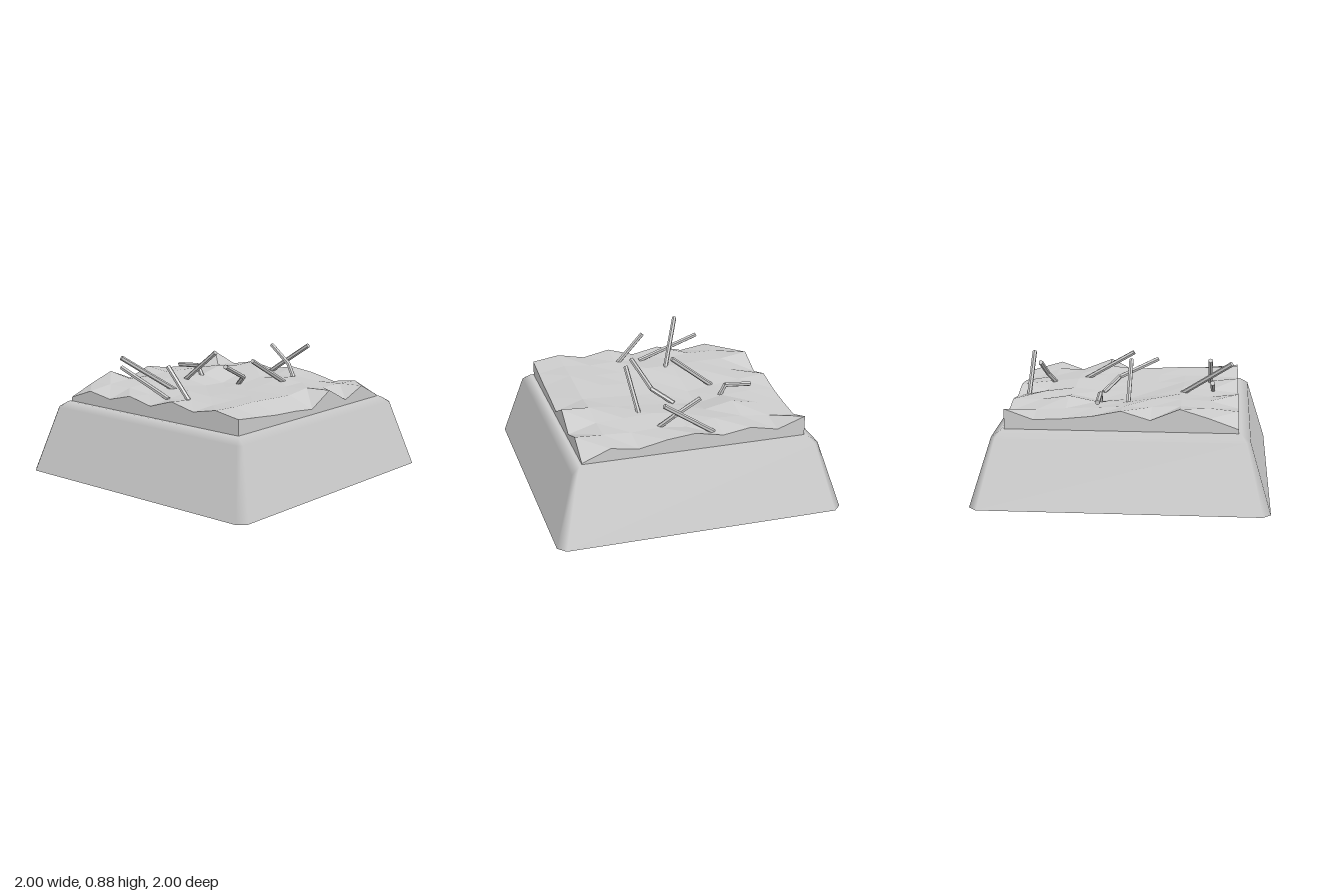
import * as THREE from 'three';

const grey = new THREE.MeshStandardMaterial({ color: 0xcccccc, side: THREE.DoubleSide });
const greyFlat = new THREE.MeshStandardMaterial({ color: 0xcccccc, flatShading: true });

// Hollow plinth, open underneath: four sloping walls, soft corner bevels and a top bevel.
function plinth() {
  const pos = [], nor = [], idx = [];
  const up = new THREE.Vector3(0, 1, 0);
  const put = (x, y, z, n, angle) => {
    pos.push(...new THREE.Vector3(x, y, z).applyAxisAngle(up, angle));
    nor.push(...n.clone().applyAxisAngle(up, angle));
  };
  const wall = new THREE.Vector3(0, 0.14, 0.46).normalize();
  for (let i = 0; i < 4; i++) {
    const a = i * Math.PI / 2;
    put(-0.945, 0, 1, wall, a);
    put(0.945, 0, 1, wall, a);
    put(0.83, 0.46, 0.86, wall, a);
    put(-0.83, 0.46, 0.86, wall, a);
    put(0.8, 0.5, 0.8, up, a);
  }
  for (let i = 0; i < 4; i++) {
    const b = i * 5, n = ((i + 1) % 4) * 5, p = ((i + 3) % 4) * 5;
    idx.push(b, b + 1, b + 2, b, b + 2, b + 3);               // wall
    idx.push(b + 1, n, n + 3, b + 1, n + 3, b + 2);           // corner bevel
    idx.push(b + 3, b + 2, b + 4, b + 3, b + 4, p + 4);       // top bevel
    idx.push(b + 2, n + 3, b + 4);                            // bevel tip
  }
  idx.push(4, 9, 14, 4, 14, 19);                              // top plate
  const g = new THREE.BufferGeometry();
  g.setAttribute('position', new THREE.Float32BufferAttribute(pos, 3));
  g.setAttribute('normal', new THREE.Float32BufferAttribute(nor, 3));
  g.setIndex(idx);
  return g;
}

// Ground heights in hundredths, back row first, left to right in x.
const heights = [
  [53, 60, 66, 58, 64, 60, 58, 57, 64],
  [60, 62, 63, 62, 62, 61, 60, 59, 57],
  [57, 62, 63, 63, 60, 60, 64, 61, 61],
  [62, 60, 62, 60, 57, 56, 60, 62, 58],
  [58, 60, 62, 59, 58, 58, 60, 58, 62],
  [64, 62, 61, 60, 59, 60, 62, 60, 60],
  [60, 61, 61, 61, 60, 61, 61, 59, 56],
  [64, 63, 63, 62, 61, 63, 60, 60, 59],
  [61, 59, 57, 56, 54, 64, 54, 61, 51],
];

// Rough slab of earth: a subdivided box whose top follows the heights.
function earth() {
  const size = 1.56, n = 8;
  const g = new THREE.BoxGeometry(size, 1, size, n, 1, n);
  const p = g.attributes.position;
  for (let i = 0; i < p.count; i++) {
    const col = Math.round((p.getX(i) / size + 0.5) * n);
    const row = Math.round((p.getZ(i) / size + 0.5) * n);
    p.setY(i, p.getY(i) > 0 ? heights[row][col] / 100 : 0.502);
  }
  g.computeVertexNormals();
  return g;
}

// A twig is a chain of slim six-sided rods through its points, tip first.
function twig(points, radius) {
  const group = new THREE.Group();
  const pts = points.map(q => new THREE.Vector3(...q));
  for (let i = 0; i < pts.length - 1; i++) {
    const dir = pts[i].clone().sub(pts[i + 1]);
    const rod = new THREE.Mesh(
      new THREE.CylinderGeometry(radius, radius, dir.length() + (i ? 0.01 : 0), 6), greyFlat);
    rod.position.copy(pts[i]).add(pts[i + 1]).multiplyScalar(0.5);
    rod.quaternion.setFromUnitVectors(new THREE.Vector3(0, 1, 0), dir.normalize());
    rod.name = 'twigRod';
    group.add(rod);
  }
  return group;
}

const twigs = [
  [[-0.73, 0.865, -0.32], [-0.36, 0.59, -0.13]],
  [[-0.6, 0.76, -0.45], [-0.6, 0.6, 0]],
  [[-0.58, 0.82, -0.02], [-0.58, 0.59, 0.19]],
  [[-0.02, 0.83, -0.08], [-0.02, 0.59, -0.38]],
  [[0.17, 0.65, -0.61], [0.17, 0.665, -0.42], [0.17, 0.59, -0.38]],
  [[-0.2, 0.785, 0.17], [0.08, 0.66, 0.1], [0.18, 0.58, -0.03]],
  [[0.715, 0.815, 0.2], [0.705, 0.55, -0.19]],
  [[0.63, 0.8, -0.08], [0.605, 0.68, 0.1], [0.55, 0.58, 0.2]],
  [[-0.015, 0.81, 0.262], [0.4, 0.57, 0.27]],
];

export function createModel() {
  const model = new THREE.Group();
  model.name = 'earthOnPlinth';
  const add = (geometry, material, name) => {
    const mesh = new THREE.Mesh(geometry, material);
    mesh.name = name;
    model.add(mesh);
  };
  add(plinth(), grey, 'plinth');
  add(earth(), greyFlat, 'earth');
  twigs.forEach((points, i) => {
    const t = twig(points, 0.017);
    t.name = 'twig' + (i + 1);
    model.add(t);
  });
  return model;
}
